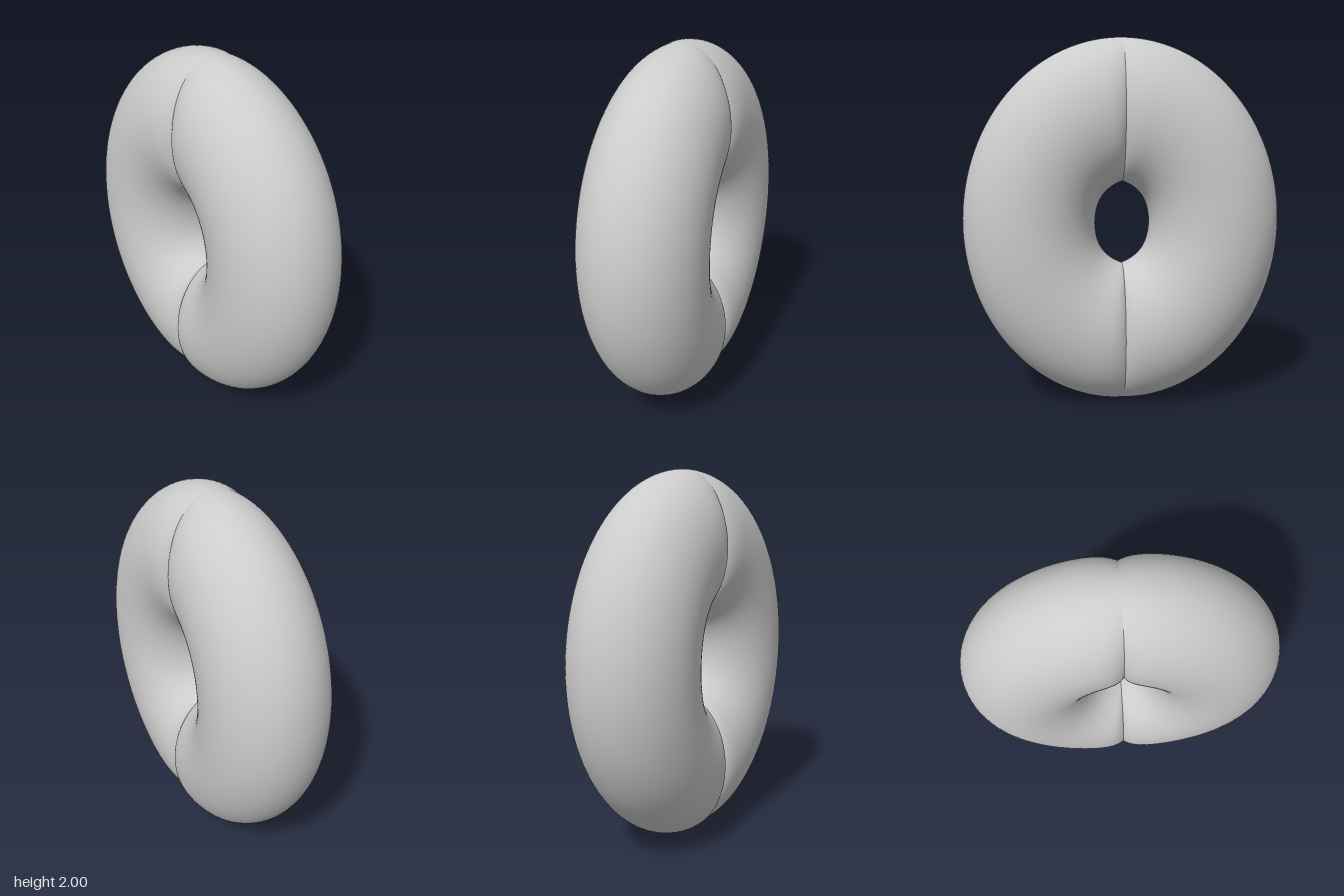
import * as THREE from 'three';

// Curved tube from the top seam, round the +x side, to the bottom seam.
function halfRingGeometry(steps = 140, sides = 96) {
  const positions = [], indices = [];
  for (let i = 0; i <= steps; i++) {
    // sections are packed closer towards the seams
    const t = i / steps;
    const angle = Math.PI * (t - 0.85 * Math.sin(2 * Math.PI * t) / (2 * Math.PI));
    const s = i === 0 || i === steps ? 0 : Math.sin(angle), c = Math.cos(angle);
    // outer rim, and an inner rim that comes to a point at the seams
    const outer = [0.868 * s, c];
    const inner = [0.15 * s, c * (0.23 - 0.05 * s * (1 - s))];
    // thickness pinches quickly at the seams
    const depth = 0.257 + 0.071 * (0.6 * (1 - Math.exp(-11 * s)) + 0.4 * s);
    for (let j = 0; j < sides; j++) {
      const a = (j / sides) * Math.PI * 2;
      const k = (1 + Math.cos(a)) / 2;
      positions.push(
        THREE.MathUtils.lerp(inner[0], outer[0], k),
        1 + THREE.MathUtils.lerp(inner[1], outer[1], k),
        depth * Math.sin(a)
      );
      if (i < steps) {
        const p = i * sides + j, q = i * sides + (j + 1) % sides;
        indices.push(p, q, p + sides, q, q + sides, p + sides);
      }
    }
  }
  const geometry = new THREE.BufferGeometry();
  geometry.setAttribute('position', new THREE.Float32BufferAttribute(positions, 3));
  geometry.setIndex(indices);
  geometry.computeVertexNormals();
  return geometry;
}

export function createModel() {
  const model = new THREE.Group();
  model.name = 'pinchedRing';
  const material = new THREE.MeshStandardMaterial({ color: 0xcccccc });
  const geometry = halfRingGeometry();
  // two matching halves meet in a crease at x = 0
  ['leftHalf', 'rightHalf'].forEach((name, n) => {
    const half = new THREE.Mesh(geometry, material);
    half.name = name;
    half.rotation.y = n * Math.PI;
    model.add(half);
  });
  return model;
}
